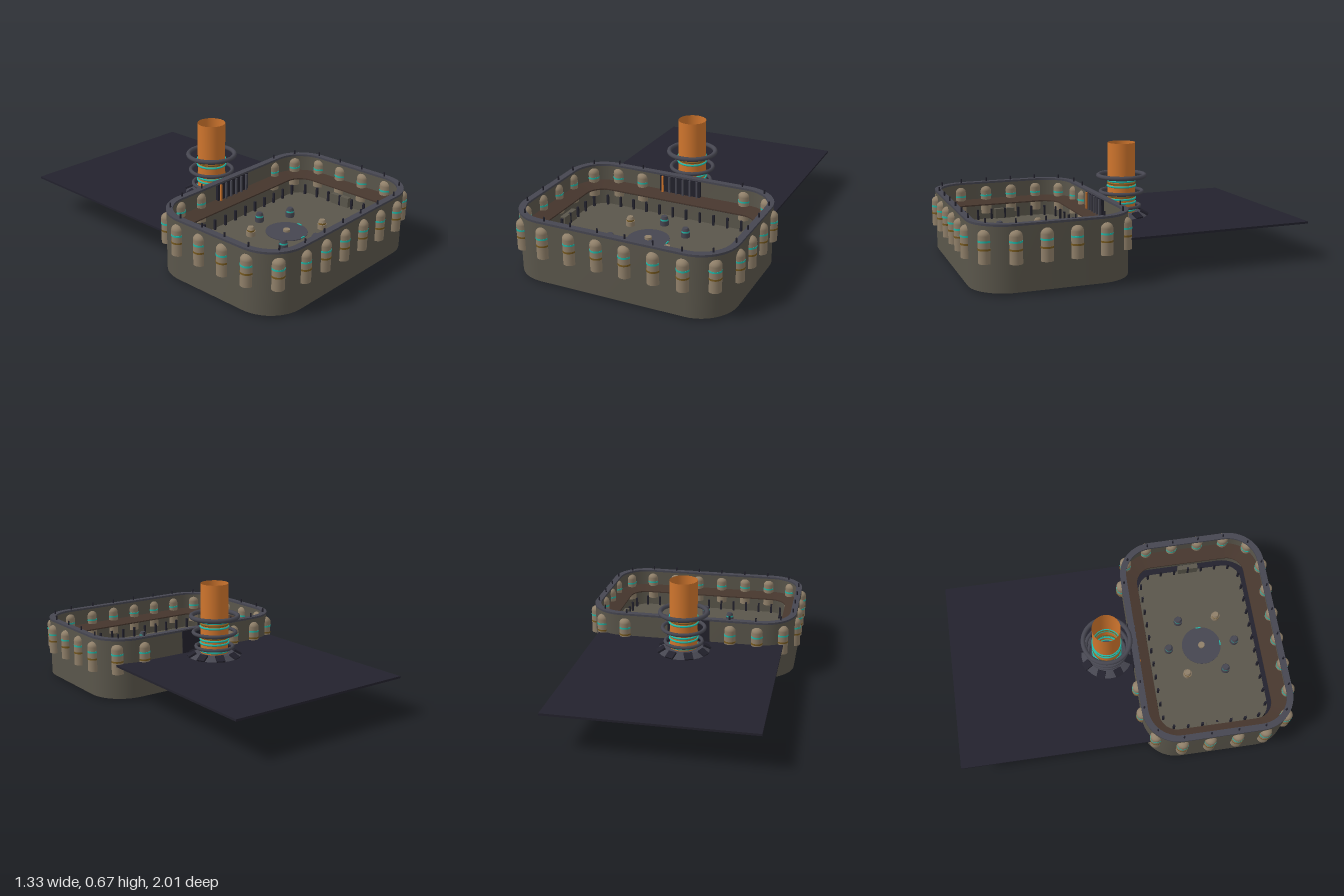
import * as THREE from 'three';
import { toCreasedNormals } from 'three/addons/utils/BufferGeometryUtils.js';

const mat = (name, color, side = THREE.FrontSide) =>
  Object.assign(new THREE.MeshStandardMaterial({ color, side }), { name });
const hull = mat('hullGrey', 0x5a564b);
const brown = mat('ledgeBrown', 0x46362d);
const slate = mat('slate', 0x464650);
const dark = mat('darkNavy', 0x23222d);
const beige = mat('beige', 0x8f7f69);
const gold = mat('darkGold', 0x75581f);
const cyan = mat('cyan', 0x22b8a8);
const orange = mat('orange', 0xcf752d, THREE.DoubleSide);

// Basin outline: half sizes, corner radius and centre
const A = 0.635, B = 0.443, R = 0.21, CZ = 0.53;

// Sweeps a closed profile of [inset, y] points around the rounded outline
function sweep(profile) {
  const pos = [], idx = [], seg = 12, loop = 4 * (seg + 1), m = profile.length;
  for (let c = 0; c < 4; c++) {
    const sx = c === 0 || c === 3 ? 1 : -1, sz = c < 2 ? 1 : -1;
    for (let k = 0; k <= seg; k++) {
      const t = (c + k / seg) * Math.PI / 2;
      for (const [inset, y] of profile) {
        pos.push(sx * (A - R) + (R - inset) * Math.cos(t), y,
          CZ + sz * (B - R) + (R - inset) * Math.sin(t));
      }
    }
  }
  for (let j = 0; j < loop; j++) {
    for (let k = 0; k < m; k++) {
      const j2 = (j + 1) % loop, k2 = (k + 1) % m;
      const a = j * m + k, b = j * m + k2, c = j2 * m + k, d = j2 * m + k2;
      idx.push(a, b, c, b, d, c);
    }
  }
  const g = new THREE.BufferGeometry();
  g.setAttribute('position', new THREE.Float32BufferAttribute(pos, 3));
  g.setIndex(idx);
  return toCreasedNormals(g, 0.5);
}

// Rounded rectangle shape, optionally used to space points evenly
function roundedRect(a, b, r) {
  const s = new THREE.Shape();
  s.moveTo(0, b);
  s.lineTo(a - r, b);
  s.absarc(a - r, b - r, r, Math.PI / 2, 0, true);
  s.lineTo(a, -b + r);
  s.absarc(a - r, -b + r, r, 0, -Math.PI / 2, true);
  s.lineTo(-a + r, -b);
  s.absarc(-a + r, -b + r, r, -Math.PI / 2, -Math.PI, true);
  s.lineTo(-a, b - r);
  s.absarc(-a + r, b - r, r, Math.PI, Math.PI / 2, true);
  s.lineTo(0, b);
  return s;
}

function add(parent, name, geo, material, x = 0, y = 0, z = 0) {
  const m = new THREE.Mesh(geo, material);
  m.name = name;
  m.position.set(x, y, z);
  parent.add(m);
  return m;
}

function ring(parent, name, radius, tube, y, material) {
  const g = new THREE.TorusGeometry(radius, tube, 10, 48).rotateX(Math.PI / 2);
  return add(parent, name, g, material, 0, y, 0);
}

const cyl = (rTop, rBottom, h, n = 20) => new THREE.CylinderGeometry(rTop, rBottom, h, n);

export function createModel() {
  const model = new THREE.Group();
  model.name = 'basinWithStack';

  // Rear deck
  add(model, 'deck', new THREE.BoxGeometry(1.15, 0.012, 1.16), dark, 0, 0.221, -0.42);

  // Basin shell
  add(model, 'base', sweep([[0.07, 0], [0, 0.012], [0.105, 0.012], [0.105, 0]]), dark);
  add(model, 'wall', sweep([[0, 0.012], [0, 0.362], [0.014, 0.362], [0.014, 0.012]]), hull);
  add(model, 'rim', sweep([[-0.002, 0.36], [-0.002, 0.372], [0.035, 0.372], [0.035, 0.36]]), slate);
  add(model, 'ledge', sweep([[0.013, 0.232], [0.013, 0.26], [0.105, 0.24], [0.105, 0.232]]), brown);

  // Capsules around the wall, each with a rim pin above
  const dome = new THREE.SphereGeometry(0.035, 20, 8, 0, Math.PI * 2, 0, Math.PI / 2);
  const outline = roundedRect(A - 0.004, B - 0.004, R);
  const count = 24, length = outline.getLength();
  for (let k = 0; k < count; k++) {
    const p = outline.getPointAt((0.092 / length + k / count) % 1);
    const unit = new THREE.Group();
    unit.name = 'capsuleUnit';
    unit.position.set(p.x, 0, CZ + p.y);
    model.add(unit);
    if (p.y < 0 && Math.abs(p.x) < 0.24) continue;
    add(unit, 'capsuleBody', cyl(0.035, 0.035, 0.145), beige, 0, 0.2375, 0);
    add(unit, 'capsuleDome', dome, beige, 0, 0.31, 0).scale.y = 0.86;
    add(unit, 'goldBand', cyl(0.036, 0.036, 0.01), gold, 0, 0.24, 0);
    add(unit, 'cyanBand', cyl(0.036, 0.036, 0.01), cyan, 0, 0.282, 0);
    add(unit, 'rimPin', cyl(0.005, 0.005, 0.036, 8), dark,
      -p.x * 0.025, 0.378, -p.y * 0.025);
  }

  // Inner floor
  const floorGeo = new THREE.ExtrudeGeometry(roundedRect(0.52, 0.328, 0.105),
    { depth: 0.02, bevelEnabled: false, curveSegments: 12 }).rotateX(-Math.PI / 2);
  add(model, 'floor', floorGeo, hull, 0, 0.13, CZ);
  add(model, 'centreDisc', cyl(0.12, 0.12, 0.028, 40), slate, 0, 0.14, CZ);
  add(model, 'centreKnob', cyl(0.02, 0.02, 0.045, 16), beige, 0, 0.145, CZ);
  add(model, 'frontMark', new THREE.BoxGeometry(0.03, 0.006, 0.006), cyan, 0, 0.155, CZ + 0.117);
  add(model, 'sideMark', new THREE.BoxGeometry(0.006, 0.006, 0.03), cyan, 0.117, 0.155, CZ);

  // Floor knobs
  const knobs = [[0, -0.205, slate], [0, 0.205, slate], [-0.174, -0.118, beige],
    [0.174, -0.118, slate], [-0.174, 0.118, slate], [0.174, 0.118, beige]];
  for (const [x, z, m] of knobs) {
    add(model, 'knobBase', cyl(0.026, 0.026, 0.054, 16), m, x, 0.152, CZ + z);
    add(model, 'knobBand', cyl(0.022, 0.022, 0.01, 16), m === beige ? gold : cyan, x, 0.184, CZ + z);
    add(model, 'knobCap', cyl(0.016, 0.023, 0.016, 16), m, x, 0.197, CZ + z);
  }

  // Small posts along the floor edge
  const edge = roundedRect(0.505, 0.315, 0.1);
  for (let k = 0; k < 36; k++) {
    const p = edge.getPointAt(k / 36);
    add(model, 'floorPost', new THREE.BoxGeometry(0.012, 0.065, 0.012), dark, p.x, 0.18, CZ + p.y);
  }
  for (const s of [-1, 1]) {
    add(model, 'sideBlock', new THREE.BoxGeometry(0.03, 0.06, 0.125), hull, s * 0.515, 0.18, CZ);
  }

  // Gate in the back wall
  add(model, 'gatePanel', new THREE.BoxGeometry(0.26, 0.14, 0.035), dark, 0, 0.295, 0.1);
  for (let k = 0; k < 6; k++) {
    add(model, 'gateBar', new THREE.BoxGeometry(0.01, 0.11, 0.012),
      k === 0 ? orange : slate, -0.11 + k * 0.044, 0.3, 0.121);
  }

  // Stack with its rings
  const stack = new THREE.Group();
  stack.name = 'stack';
  stack.position.z = -0.06;
  model.add(stack);
  add(stack, 'tube', new THREE.CylinderGeometry(0.082, 0.082, 0.435, 40, 1, true), orange, 0, 0.4475, 0);
  add(stack, 'collar', cyl(0.115, 0.155, 0.022, 32), slate, 0, 0.238, 0);
  for (let k = 0; k < 8; k++) {
    const fin = add(stack, 'collarFoot', new THREE.BoxGeometry(0.05, 0.012, 0.05), dark);
    const t = (k + 0.5) * Math.PI / 4;
    fin.position.set(0.138 * Math.sin(t), 0.242, 0.138 * Math.cos(t));
    fin.rotation.set(0.5, t, 0, 'YXZ');
  }
  ring(stack, 'upperRing', 0.138, 0.0135, 0.467, slate);
  ring(stack, 'middleRing', 0.125, 0.011, 0.37, slate);
  ring(stack, 'lowerRing', 0.11, 0.01, 0.284, slate);
  for (const y of [0.438, 0.406, 0.33, 0.308, 0.262]) {
    ring(stack, 'cyanRing', 0.083, 0.006, y, cyan);
  }
  for (const y of [0.422, 0.345]) ring(stack, 'goldRing', 0.081, 0.005, y, gold);

  return model;
}
